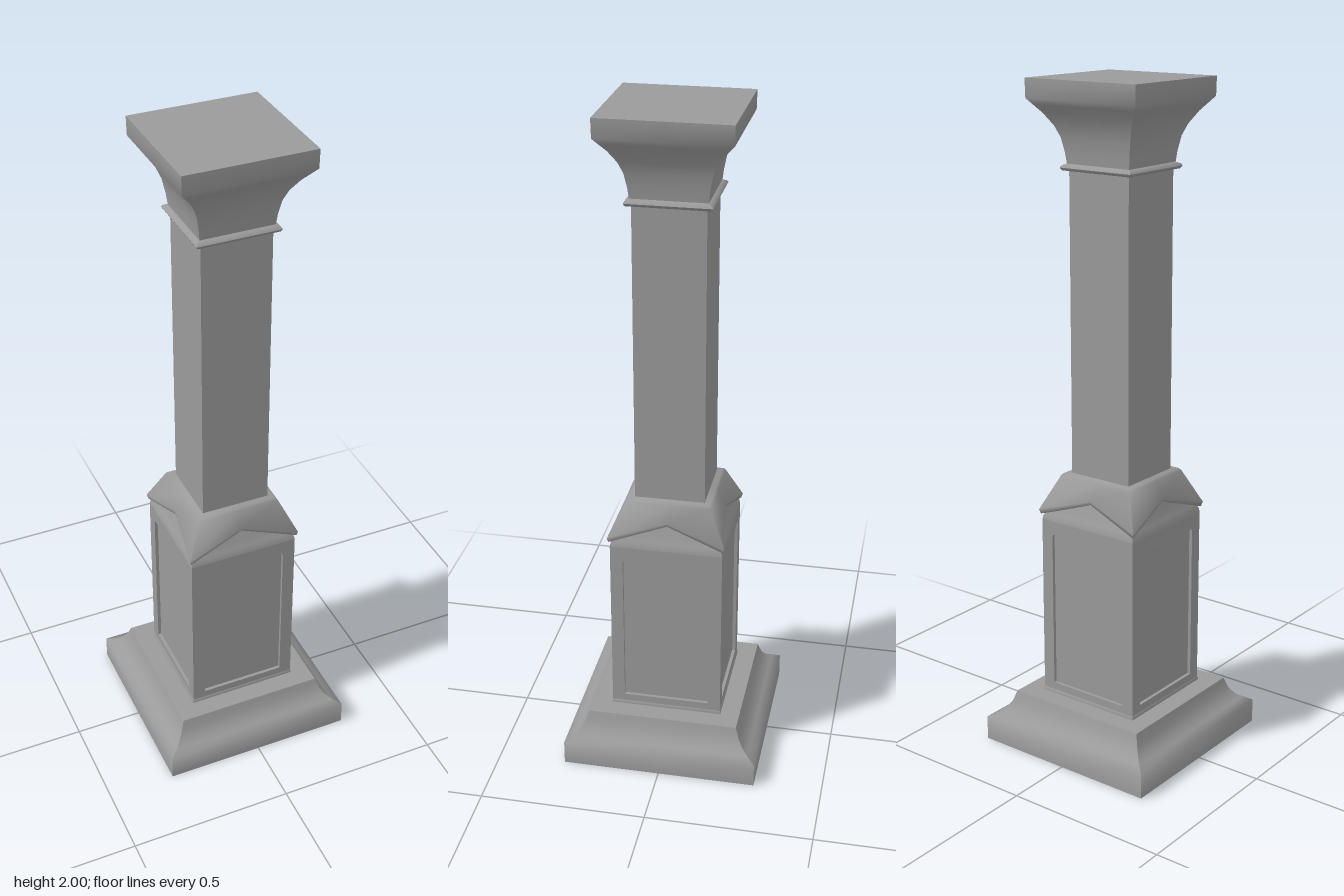
import * as THREE from 'three';
import { mergeGeometries, toCreasedNormals } from 'three/addons/utils/BufferGeometryUtils.js';

const material = new THREE.MeshStandardMaterial({ color: 0x9a9a9a });

// Creased normals, computed at a larger scale so that fine details stay apart
function creased(geometry, angle) {
  return toCreasedNormals(geometry.scale(100, 100, 100), angle).scale(0.01, 0.01, 0.01);
}

// Square loft, bottom to top. Each row is [half width, y] and may add
// [.., half width, y] for the middle of each side. Both ends are closed.
// Every side is smooth along its profile, with sharp corners between sides.
function squareLoft(rows) {
  const closed = [[0, rows[0][1]], ...rows, [0, rows[rows.length - 1][1]]];
  const positions = [];
  const point = ([h, y, hm = h, ym = y], u) => (u === 0 ? [0, ym, hm] : [u * h, y, h]);
  for (let i = 0; i < closed.length - 1; i++) {
    for (const u of [-1, 0]) {
      const a = point(closed[i], u), b = point(closed[i], u + 1);
      const c = point(closed[i + 1], u + 1), d = point(closed[i + 1], u);
      positions.push(...a, ...b, ...c, ...a, ...c, ...d);
    }
  }
  const geometry = new THREE.BufferGeometry();
  geometry.setAttribute('position', new THREE.Float32BufferAttribute(positions, 3));
  const side = creased(geometry, 1.1);
  return mergeGeometries([0, 1, 2, 3].map((i) => side.clone().rotateY(i * Math.PI / 2)));
}

// Frame for one pedestal face, with a notched panel opening and mitred ends
function panelFrame(half, bottom, top, depth) {
  const shape = new THREE.Shape();
  shape.moveTo(-half, bottom);
  shape.lineTo(half, bottom);
  shape.lineTo(half, top);
  shape.lineTo(-half, top);
  shape.closePath();

  const hole = new THREE.Path();
  hole.moveTo(-0.13, 0.19);
  hole.lineTo(-0.13, 0.662);
  hole.quadraticCurveTo(-0.13, 0.674, -0.118, 0.674);
  hole.lineTo(-0.095, 0.674);
  hole.quadraticCurveTo(-0.082, 0.674, -0.068, 0.665);
  hole.lineTo(-0.02, 0.637);
  hole.quadraticCurveTo(0, 0.626, 0.02, 0.637);
  hole.lineTo(0.068, 0.665);
  hole.quadraticCurveTo(0.082, 0.674, 0.095, 0.674);
  hole.lineTo(0.118, 0.674);
  hole.quadraticCurveTo(0.13, 0.674, 0.13, 0.662);
  hole.lineTo(0.13, 0.19);
  hole.closePath();
  shape.holes.push(hole);

  const geometry = new THREE.ExtrudeGeometry(shape, { depth, bevelEnabled: false, curveSegments: 6 });
  const p = geometry.attributes.position;
  for (let i = 0; i < p.count; i++) {
    if (Math.abs(p.getX(i)) > half - 0.001 && p.getZ(i) < depth / 2) {
      p.setX(i, Math.sign(p.getX(i)) * (half - depth));
    }
  }
  geometry.translate(0, 0, half - depth);
  return creased(geometry, 0.6);
}

export function createModel() {
  const group = new THREE.Group();
  const add = (name, geometry) => {
    const mesh = new THREE.Mesh(geometry, material);
    mesh.name = name;
    group.add(mesh);
    return mesh;
  };

  // Stepped foot with a concave shoulder
  add('base', squareLoft([
    [0.295, 0], [0.295, 0.074], [0.27, 0.087], [0.252, 0.103],
    [0.239, 0.123], [0.231, 0.147], [0.228, 0.156],
  ]));

  // Pedestal: thin foot, recessed core, four frames and a tapered shoulder
  add('pedestalFoot', squareLoft([[0.17, 0.154], [0.17, 0.164], [0.166, 0.17]]));
  add('pedestalCore', squareLoft([[0.158, 0.155], [0.158, 0.72]]));
  const frame = panelFrame(0.168, 0.165, 0.715, 0.01);
  for (let i = 0; i < 4; i++) {
    add('panelFrame' + (i + 1), frame).rotation.y = i * Math.PI / 2;
  }
  add('pedestalShoulder', squareLoft([
    [0.168, 0.715], [0.166, 0.726], [0.16, 0.738], [0.153, 0.752], [0.141, 0.795], [0.12, 0.845],
  ]));

  // Sloped cap with soft corners, its lower edge rising to a point on each side
  add('pedestalCap', creased(squareLoft([
    [0.145, 0.734, 0.135, 0.791],
    [0.171, 0.732, 0.149, 0.79],
    [0.175, 0.745, 0.151, 0.8],
    [0.127, 0.85],
    [0.121, 0.856],
  ]), 1.45));

  // Plain square shaft
  add('shaft', squareLoft([[0.104, 0.845], [0.104, 1.765]]));

  // Thin collar and flared capital
  add('collar', squareLoft([[0.104, 1.745], [0.118, 1.746], [0.123, 1.754], [0.119, 1.76], [0.108, 1.765]]));
  add('capital', squareLoft([
    [0.108, 1.76], [0.112, 1.795], [0.12, 1.837], [0.133, 1.87],
    [0.155, 1.905], [0.174, 1.928], [0.188, 1.945], [0.189, 2],
  ]));

  return group;
}
